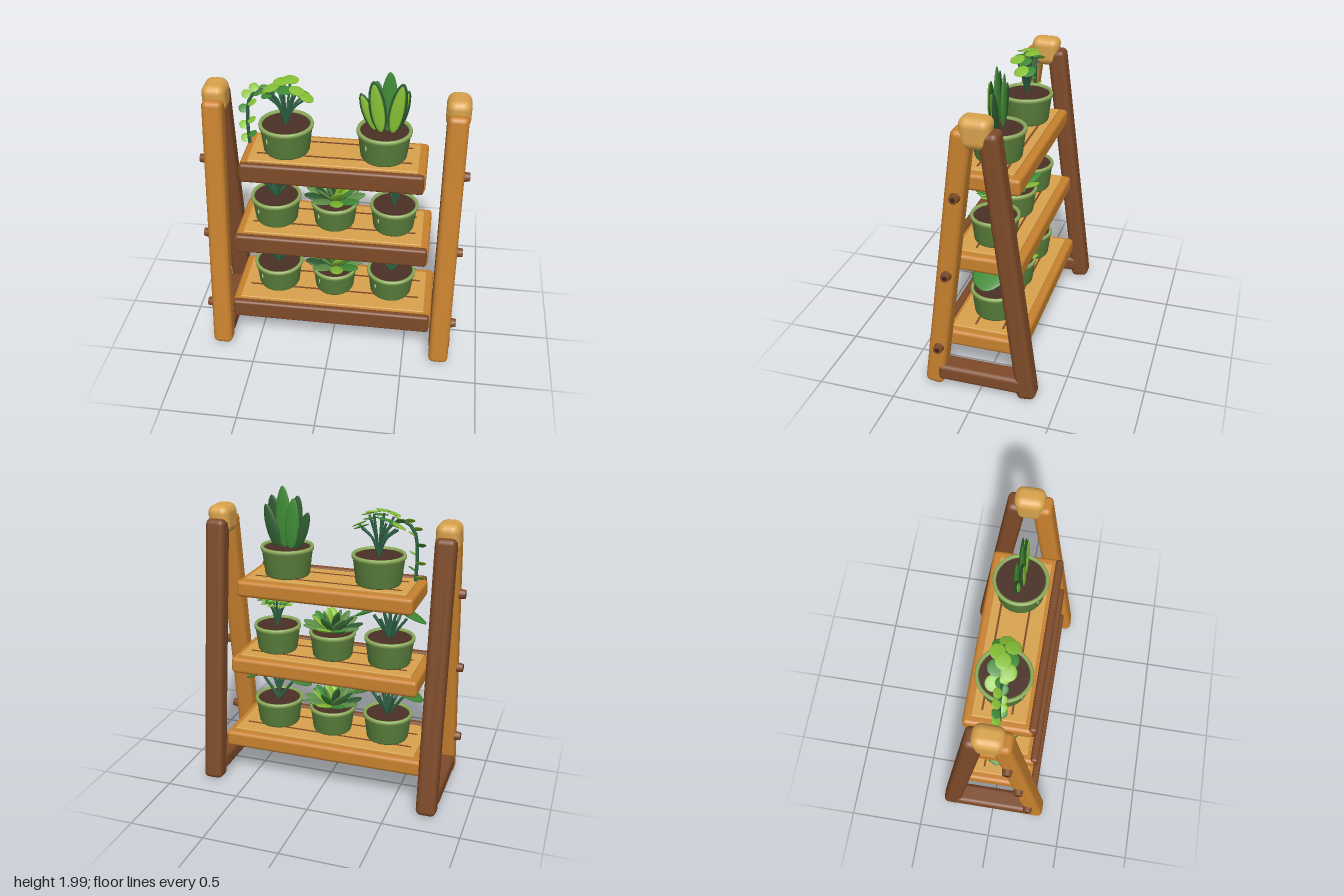
import * as THREE from 'three';
import { RoundedBoxGeometry } from 'three/addons/geometries/RoundedBoxGeometry.js';

const C = {
  light: 0xd8a24c, wood: 0xc8812e, brown: 0x7d4a28, dark: 0x3a2218, pot: 0x5a7f3c, rim: 0x8dae5c,
  shine: 0xb9d09a, soil: 0x4a3025, stem: 0x2f6446, deep: 0x2c5a2e, leaf: 0x3f8a35, lime: 0x86bf35, sage: 0x5f8f4a,
};
const mats = {};
const mat = (name) => (mats[name] ??= new THREE.MeshStandardMaterial({ color: C[name] }));
const V = (x, y, z) => new THREE.Vector3(x, y, z);

function add(parent, name, geo, color, x = 0, y = 0, z = 0) {
  const m = new THREE.Mesh(geo, mat(color));
  m.name = name;
  m.position.set(x, y, z);
  parent.add(m);
  return m;
}
const box = (w, h, d, r) => new RoundedBoxGeometry(w, h, d, 3, r);
function group(parent, name, x = 0, y = 0, z = 0) {
  const g = new THREE.Group();
  g.name = name;
  g.position.set(x, y, z);
  parent.add(g);
  return g;
}

// Leaf: a thin ellipsoid from base along dir, its flat side facing normal; point > 0 narrows the tip
function leaf(parent, color, base, dir, normal, len, width, thick = 0.012, point = 0) {
  const geo = new THREE.SphereGeometry(0.5, 12, 10);
  const p = geo.attributes.position;
  for (let i = 0; i < p.count; i++) {
    const t = p.getY(i) + 0.5, k = 1 - point * t * t;
    p.setXYZ(i, p.getX(i) * width * k, t * len, p.getZ(i) * thick * k);
  }
  geo.computeVertexNormals();
  const y = dir.clone().normalize();
  const x = y.clone().cross(normal).normalize();
  const m = add(parent, 'leaf', geo, color, base.x, base.y, base.z);
  m.quaternion.setFromRotationMatrix(new THREE.Matrix4().makeBasis(x, y, x.clone().cross(y)));
}
function stem(parent, points, r = 0.009) {
  const curve = new THREE.CatmullRomCurve3(points);
  add(parent, 'stem', new THREE.TubeGeometry(curve, 12, r, 6), 'stem');
  return curve;
}

// Pot with its rim, soil and glaze highlight; returns a group at soil height
function pot(parent, x, y, R, h) {
  const g = group(parent, 'pottedPlant', x, y, 0.015);
  const lathe = (pts) => new THREE.LatheGeometry(pts.map(([r, v]) => new THREE.Vector2(r, v)), 32);
  add(g, 'potBody', lathe([[0, 0], [R * 0.8, 0], [R * 0.84, 0.012], [R * 0.95, h - 0.025]]), 'pot');
  add(g, 'potRim', lathe([[R * 0.93, h - 0.03], [R * 0.99, h - 0.026], [R, h - 0.012], [R * 0.98, h - 0.002],
    [R * 0.92, h], [R * 0.87, h - 0.006], [R * 0.86, h - 0.03]]), 'rim');
  add(g, 'soil', new THREE.CylinderGeometry(R * 0.88, R * 0.88, 0.01, 28), 'soil', 0, h - 0.02);
  const s = add(g, 'glazeHighlight', new THREE.SphereGeometry(1, 8, 6), 'shine', -R * 0.58, h * 0.58, R * 0.7);
  s.scale.set(0.006, 0.02, 0.006);
  return group(g, 'plant', 0, h - 0.02, 0);
}

// Fan of stalks with two broad drooping leaves
function broadLeafPlant(parent, width, stalks) {
  for (let i = 0; i < stalks; i++) {
    const a = (i / stalks) * Math.PI * 2;
    stem(parent, [V(0, 0, 0), V(Math.cos(a) * 0.11, 0.15, Math.sin(a) * 0.06)], 0.01);
  }
  stem(parent, [V(0, 0, 0), V(0, 0.12, 0), V(0.005, 0.23, 0)], 0.012);
  for (const s of [-1, 1]) {
    stem(parent, [V(0, 0.06, 0), V(s * 0.04, 0.17, 0), V(s * 0.06, 0.225, 0)], 0.01);
    leaf(parent, 'leaf', V(s * 0.035, 0.228, 0), V(s, -0.5, 0), V(s * 0.4, 1, 0.12), 0.225, width, 0.03, 0.3);
  }
}

// Low rosette of plump oval leaves
function rosette(parent) {
  const colors = ['sage', 'leaf', 'lime', 'sage', 'deep'];
  [[9, 0.3, 0.18, 0.09], [7, 0.75, 0.16, 0.08], [4, 1.2, 0.15, 0.065]].forEach(([n, up, len, w], k) => {
    for (let i = 0; i < n; i++) {
      const a = (i / n) * Math.PI * 2 + k * 0.4;
      const d = V(Math.cos(a) * Math.cos(up), Math.sin(up), Math.sin(a) * Math.cos(up) * 0.75);
      leaf(parent, colors[(i + k) % 5], V(d.x * 0.03, 0.015, d.z * 0.03), d, V(-d.x * 0.4, 1, -d.z * 0.4), len, w, 0.025);
    }
  });
}

// Slender stems set with pairs of small leaflets
function fern(parent) {
  for (let i = 0; i < 7; i++) {
    const a = (i / 7) * Math.PI * 2, x = Math.cos(a), z = Math.sin(a);
    const c = stem(parent, [V(0, 0, 0), V(x * 0.05, 0.14, z * 0.03), V(x * 0.14, 0.225, z * 0.09)], 0.007);
    for (let j = 0; j < 4; j++) {
      const p = c.getPoint(0.55 + j * 0.14);
      for (const s of [-1, 1])
        leaf(parent, j % 2 ? 'leaf' : 'lime', p, V(x * 0.6 - s * z, 0.15, z * 0.6 + s * x), V(0.1, 1, 0.2), 0.07, 0.04, 0.01, 0.3);
    }
  }
}

// Round-leaved plant with one trailing vine
function coinPlant(parent) {
  for (let i = 0; i < 11; i++) {
    const t = i / 5 - 1, z = (i % 3 - 1) * 0.04;
    const end = V(t * 0.13, 0.28 - t * t * 0.09 - (i % 2) * 0.04, z);
    stem(parent, [V(0, 0, 0), V(t * 0.05, 0.12, z * 0.5), end], 0.008);
    leaf(parent, i % 2 ? 'leaf' : 'lime', end.clone().add(V(-0.045, 0.015 * (1 + t), 0)), V(1, -0.5 * t, 0), V(t * 0.5, 1, 0.15), 0.1, 0.095, 0.012);
  }
  const vine = stem(parent, [V(0, 0, 0), V(-0.06, 0.19, 0.01), V(-0.15, 0.235, 0.01), V(-0.22, 0.17, 0.01),
    V(-0.24, 0, 0.01), V(-0.235, -0.14, 0.01)], 0.011);
  for (let i = 0; i < 11; i++) {
    const s = i % 2 ? 1 : -1;
    leaf(parent, i % 3 ? 'lime' : 'leaf', vine.getPoint(0.3 + i * 0.068), V(s, 0.4, s * 0.5), V(-0.5, 1, 0.3), 0.065, 0.06, 0.01);
  }
}

// Upright blades, the pale ones set in front of the dark ones
function bladePlant(parent) {
  const blades = [ // base x, lean, length, width, z, paleness
    [0.04, 0.01, 0.4, 0.115, 0, 0], [0, -0.16, 0.345, 0.115, 0.012, 1], [0.07, 0.16, 0.34, 0.115, 0.012, 1],
    [-0.04, -0.36, 0.26, 0.085, -0.012, 1], [0.08, 0.27, 0.29, 0.09, -0.012, 1], [-0.01, -0.08, 0.33, 0.1, -0.02, 0],
  ];
  for (const [x, lean, len, w, z, pale] of blades) {
    const d = V(Math.sin(lean), Math.cos(lean), 0);
    leaf(parent, pale ? 'deep' : 'leaf', V(x - 0.02, 0, z), d, V(0, 0, 1), len, w, 0.03, 0.25);
    if (pale) leaf(parent, 'lime', V(x - 0.02, 0.005, z + 0.012), d, V(0, 0, 1), len * 0.94, w * 0.72, 0.022, 0.25);
  }
}

export function createModel() {
  const root = new THREE.Group();
  root.name = 'plantStand';

  // A-frame sides
  for (const s of [-1, 1]) {
    const side = group(root, s > 0 ? 'leftFrame' : 'rightFrame', s * 0.745);
    for (const f of [1, -1]) {
      const leg = add(side, f > 0 ? 'frontLeg' : 'backLeg', box(0.13, 1.78, 0.12, 0.035), f > 0 ? 'wood' : 'brown', 0, 0.895, f * 0.19);
      leg.rotation.x = -f * 0.129;
    }
    add(side, 'footBar', box(0.14, 0.11, 0.55, 0.03), 'brown', 0, 0.108, 0);
    const capGeo = box(0.15, 0.19, 0.2, 0.055), p = capGeo.attributes.position;
    for (let i = 0; i < p.count; i++) p.setZ(i, p.getZ(i) * (0.87 + p.getY(i) * 1.4));
    add(side, 'topCap', capGeo, 'light', 0, 1.765, 0);
    // Pegs through the front leg
    for (const [y, z] of [[1.375, 0.115], [0.845, 0.185], [0.305, 0.255]]) {
      const peg = group(side, 'peg', s * 0.075, y, z);
      peg.rotation.z = -s * Math.PI / 2;
      add(peg, 'pegHead', new THREE.CylinderGeometry(0.027, 0.034, 0.05, 16), 'brown');
      add(peg, 'pegCore', new THREE.CylinderGeometry(0.014, 0.014, 0.05, 12), 'dark', 0, 0.002);
    }
  }

  // Shelves: top height, half width, back z, front z
  for (const [y, hw, zb, zf] of [[0.36, 0.675, -0.25, 0.3], [0.9, 0.63, -0.225, 0.28], [1.43, 0.58, -0.2, 0.252]]) {
    const shelf = group(root, 'shelf', 0, y, 0);
    const d = zf - 0.02 - zb, mid = (zf - 0.02 + zb) / 2;
    add(shelf, 'shelfFrame', box(hw * 2, 0.11, d, 0.025), 'wood', 0, -0.072, mid);
    add(shelf, 'shelfBoard', box(hw * 2 - 0.1, 0.03, d - 0.1, 0.006), 'light', 0, -0.019, mid);
    add(shelf, 'frontBoard', box(hw * 2 - 0.02, 0.13, 0.05, 0.018), 'brown', 0, -0.065, zf - 0.025);
    for (const z of [-0.09, 0.09])
      add(shelf, 'slatGroove', new THREE.BoxGeometry(hw * 2 - 0.19, 0.004, 0.012), 'brown', 0, -0.003, z);
  }

  // Plants, row by row
  const low = 0.355, middle = 0.895, high = 1.425;
  broadLeafPlant(pot(root, -0.39, low, 0.165, 0.185), 0.25, 6);
  rosette(pot(root, -0.003, low, 0.155, 0.175));
  broadLeafPlant(pot(root, 0.385, low, 0.165, 0.185), 0.25, 2);
  broadLeafPlant(pot(root, -0.39, middle, 0.165, 0.185), 0.17, 6);
  rosette(pot(root, -0.003, middle, 0.155, 0.175));
  fern(pot(root, 0.385, middle, 0.157, 0.18));
  coinPlant(pot(root, -0.307, high, 0.173, 0.195));
  bladePlant(pot(root, 0.305, high, 0.173, 0.195));
  return root;
}
